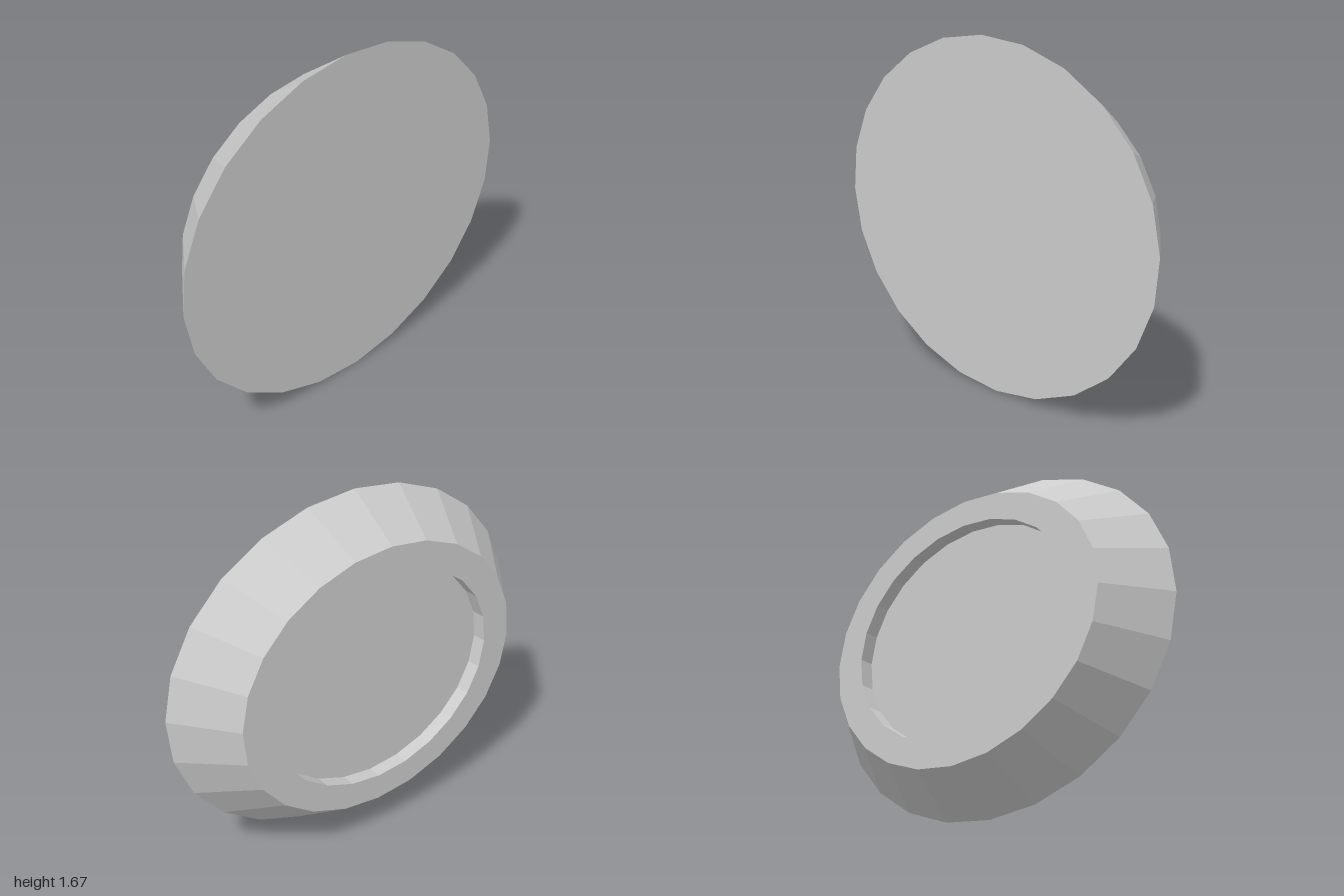
import * as THREE from 'three';

const SIDES = 24;
const TURN = THREE.MathUtils.degToRad(2.6);
const RX = 1.0, RY = 0.838;
const FRONT = 0.135, BACK = -0.135, FLOOR = -0.065;
const BACK_R = 0.785, RECESS_R = 0.63;

export function createModel() {
  const group = new THREE.Group();
  group.name = 'ovalDisc';
  const material = new THREE.MeshStandardMaterial({ color: 0xcccccc, flatShading: true });

  // Each part is a faceted elliptical band given by [radius, z] points, facing outward
  const addBand = (name, profile) => {
    const points = profile.map(([r, z]) => new THREE.Vector2(r, z));
    const geometry = new THREE.LatheGeometry(points, SIDES, TURN)
      .rotateX(Math.PI / 2)
      .scale(RX, RY, 1)
      .translate(0, RY, 0)
      .toNonIndexed();
    geometry.computeVertexNormals();
    const mesh = new THREE.Mesh(geometry, material);
    mesh.name = name;
    group.add(mesh);
  };

  // Shallow recess sunk into the back
  addBand('recessFloor', [[0, FLOOR], [RECESS_R, FLOOR]]);
  addBand('recessWall', [[RECESS_R, FLOOR], [RECESS_R, BACK]]);
  // Flat rim around the recess, then the slanted side
  addBand('backRim', [[RECESS_R, BACK], [BACK_R, BACK]]);
  addBand('slantedSide', [[BACK_R, BACK], [1, FRONT]]);
  // Plain front face
  addBand('frontFace', [[1, FRONT], [0, FRONT]]);

  return group;
}
